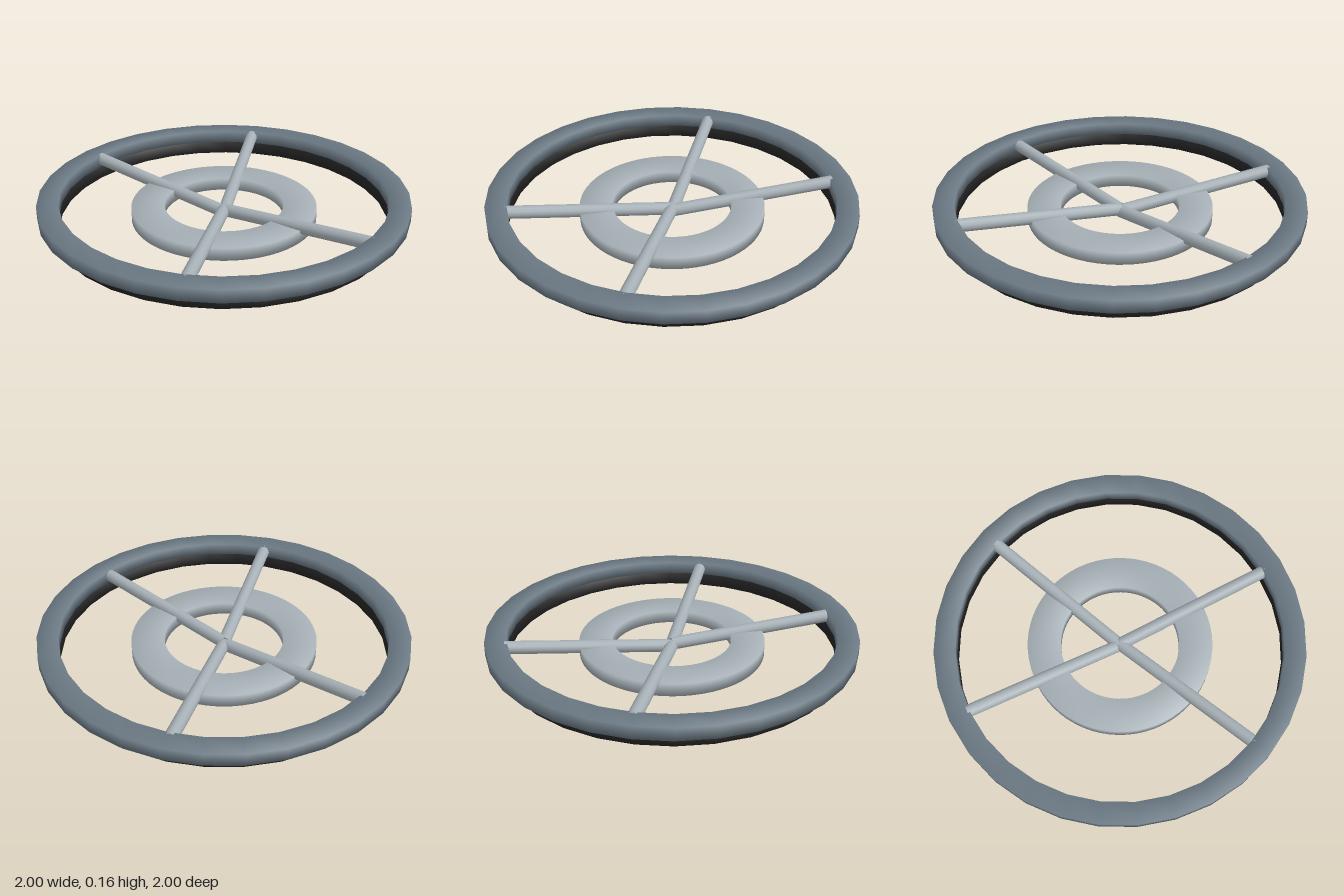
import * as THREE from 'three';
import { mergeVertices } from 'three/addons/utils/BufferGeometryUtils.js';

// Ring with a rectangular section and soft, blended normals
function ringGeometry(inner, outer, bottom, top, segments) {
  const profile = [
    [inner, bottom], [outer, bottom], [outer, top], [inner, top], [inner, bottom],
  ].map(([r, y]) => new THREE.Vector2(r, y));
  const lathe = new THREE.LatheGeometry(profile, segments);
  lathe.deleteAttribute('normal');
  lathe.deleteAttribute('uv');
  const geometry = mergeVertices(lathe, 1e-4);
  geometry.computeVertexNormals();
  return geometry;
}

// Capped rod between two points
function rod(from, to, radius, material) {
  const direction = to.clone().sub(from);
  const mesh = new THREE.Mesh(
    new THREE.CylinderGeometry(radius, radius, direction.length(), 12), material);
  mesh.position.copy(from).add(to).multiplyScalar(0.5);
  mesh.quaternion.setFromUnitVectors(new THREE.Vector3(0, 1, 0), direction.normalize());
  return mesh;
}

export function createModel() {
  const slate = new THREE.MeshStandardMaterial({ color: 0x6c7a85 });
  slate.name = 'slate grey';
  const silver = new THREE.MeshStandardMaterial({ color: 0xa6b0b6 });
  silver.name = 'silver grey';
  const black = new THREE.MeshStandardMaterial({ color: 0x222222 });
  black.name = 'black';

  const model = new THREE.Group();
  model.name = 'spokedWheel';
  const add = (name, mesh) => {
    mesh.name = name;
    model.add(mesh);
  };

  // Outer rim, the dark band beneath it, and the inner ring
  add('rim', new THREE.Mesh(ringGeometry(0.885, 1, 0.09, 0.16, 32), slate));
  add('lowerBand', new THREE.Mesh(ringGeometry(0.888, 0.932, 0.016, 0.09, 32), black));
  add('innerRing', new THREE.Mesh(ringGeometry(0.323, 0.503, 0.02, 0.09, 64), silver));

  // Four spokes rising from the hub to the rim; the back pair is a little steeper
  for (const [end, z, hubY, rimY] of [['back', -0.755, 0.04, 0.131], ['front', 0.755, 0.052, 0.126]]) {
    for (const [side, x] of [['Left', 0.49], ['Right', -0.49]]) {
      add(`${end}${side}Spoke`, rod(
        new THREE.Vector3(0, hubY, 0), new THREE.Vector3(x, rimY, z), 0.035, silver));
    }
  }
  return model;
}
